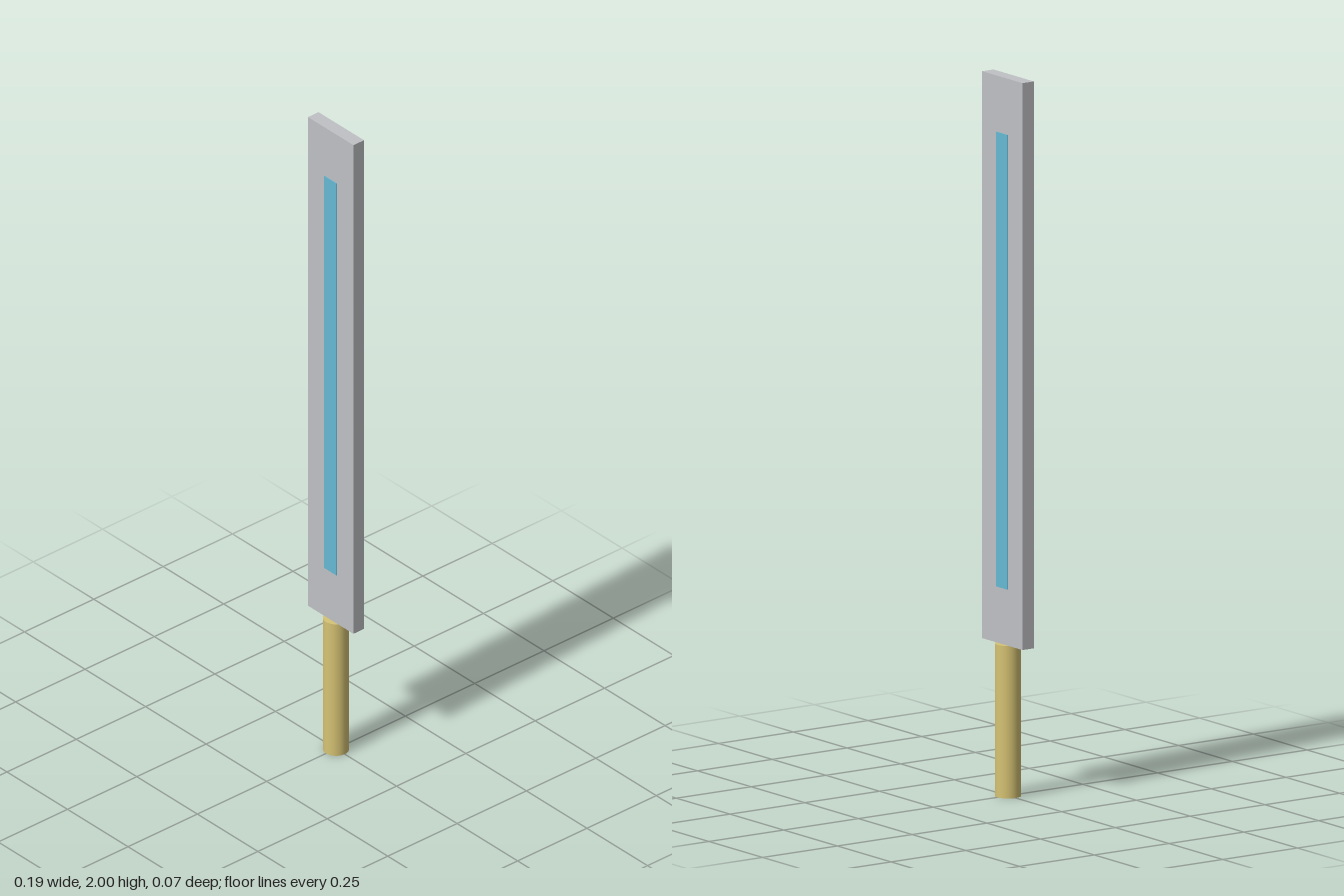
import * as THREE from 'three';

export function createModel() {
  const group = new THREE.Group();
  const material = (name, color) => {
    const m = new THREE.MeshStandardMaterial({ color });
    m.name = name;
    return m;
  };
  const steel = material('steel grey', 0xc0c1c5);
  const blue = material('inlay blue', 0x66b9d3);
  const brass = material('handle brass', 0xd6c374);

  const add = (name, geometry, mat, y, z = 0) => {
    const mesh = new THREE.Mesh(geometry, mat);
    mesh.name = name;
    mesh.position.set(0, y, z);
    group.add(mesh);
  };

  // Round grip, standing on the ground
  const handleHeight = 0.424;
  add('handle', new THREE.CylinderGeometry(0.036, 0.036, handleHeight, 32), brass, handleHeight / 2);

  // Flat slab blade
  const bladeHeight = 2 - handleHeight, depth = 0.038;
  add('blade', new THREE.BoxGeometry(0.188, bladeHeight, depth), steel, handleHeight + bladeHeight / 2);

  // Thin inlay strip on each face of the blade
  for (const [name, side] of [['frontInlay', 1], ['backInlay', -1]]) {
    add(name, new THREE.BoxGeometry(0.053, 1.264, 0.004), blue, 1.212, side * depth / 2);
  }
  return group;
}
